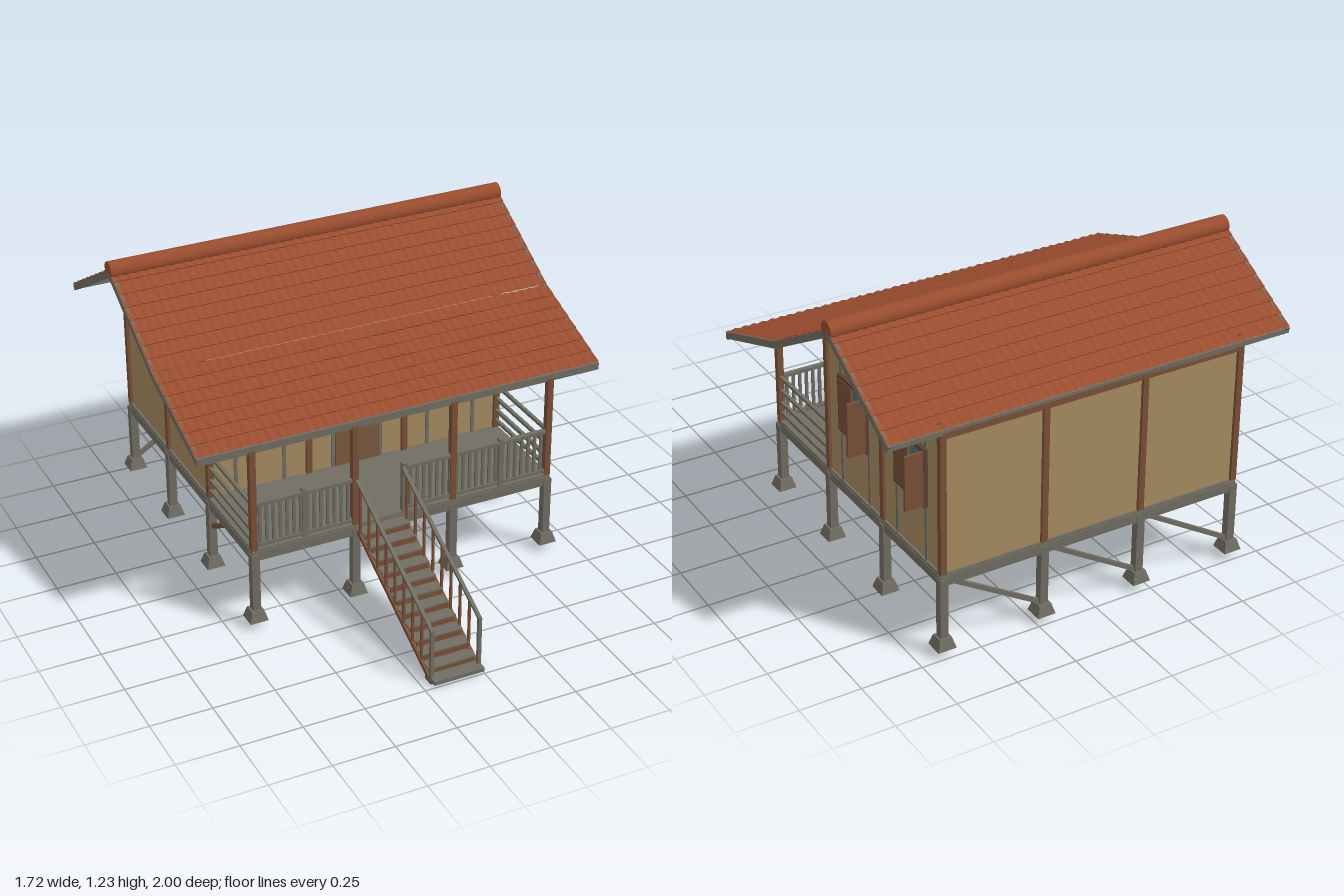
import * as THREE from 'three';
import { toCreasedNormals } from 'three/addons/utils/BufferGeometryUtils.js';

const mat = (name, color, side = THREE.FrontSide) => {
  const m = new THREE.MeshStandardMaterial({ color, side });
  m.name = name;
  return m;
};

export function createModel() {
  const tan = mat('wall tan', 0xa78b5f);
  const grey = mat('weathered grey', 0x716e62);
  const wood = mat('brown timber', 0x7a5037);
  const doorWood = mat('door brown', 0x7b5a40);
  const darkWood = mat('dark trim', 0x5a4030);
  const glass = mat('window blue', 0x4a7080);
  const tile = mat('roof terracotta', 0x9a4d2f, THREE.DoubleSide);

  const root = new THREE.Group();
  root.name = 'stiltHouse';
  const group = (name, parent = root) => {
    const g = new THREE.Group();
    g.name = name;
    parent.add(g);
    return g;
  };
  const mesh = (parent, name, geo, m) => {
    const o = new THREE.Mesh(geo, m);
    o.name = name;
    parent.add(o);
    return o;
  };
  const box = (parent, name, m, w, h, d, x, y, z) => {
    const o = mesh(parent, name, new THREE.BoxGeometry(w, h, d), m);
    o.position.set(x, y, z);
    return o;
  };
  // Square-cut timber running between two points
  const bar = (parent, name, m, a, b, w, h) => {
    const p = new THREE.Vector3(...a), q = new THREE.Vector3(...b);
    const o = mesh(parent, name, new THREE.BoxGeometry(w, h, p.distanceTo(q)), m);
    o.position.copy(p).lerp(q, 0.5);
    o.lookAt(q);
    return o;
  };

  const xs = [-0.64, -0.213, 0.213, 0.64];
  const zs = [0.325, -0.102, -0.53, -0.957];

  // Stilts, footings and floor beams
  const base = group('foundation');
  const footGeo = new THREE.CylinderGeometry(0.025 * Math.SQRT2, 0.038 * Math.SQRT2, 0.045, 4).toNonIndexed();
  footGeo.rotateY(Math.PI / 4);
  footGeo.computeVertexNormals();
  for (const x of xs) for (const z of zs) {
    mesh(base, 'footing', footGeo, grey).position.set(x, 0.053, z);
    box(base, 'stilt', grey, 0.033, 0.25, 0.033, x, 0.2, z);
  }
  for (const z of zs) box(base, 'crossBeam', grey, 1.3, 0.04, 0.025, 0, 0.316, z);
  for (const x of xs) box(base, 'longBeam', grey, 0.025, 0.038, 1.3, x, 0.316, -0.316);
  box(base, 'floor', grey, 1.3, 0.014, 1.3, 0, 0.338, -0.316);
  for (let i = 0; i < 3; i++) {
    bar(base, 'backBrace', grey, [xs[i] + 0.01, 0.08, -0.957], [xs[i + 1] - 0.04, 0.305, -0.957], 0.015, 0.018);
  }
  bar(base, 'sideBrace', wood, [-0.64, 0.335, 0.115], [-0.64, 0.21, -0.1], 0.015, 0.02);

  // House body with both gables
  const house = group('house');
  const gable = new THREE.Shape([
    [0.102, 0.345], [0.957, 0.345], [0.957, 0.92], [0.53, 1.165], [0.102, 0.92],
  ].map(p => new THREE.Vector2(...p)));
  const body = mesh(house, 'walls', new THREE.ExtrudeGeometry(gable, { depth: 1.28, bevelEnabled: false }), tan);
  body.rotation.y = Math.PI / 2;
  body.position.x = -0.64;

  // Wall posts and plates
  for (const x of xs) for (const z of [-0.102, -0.957]) {
    box(house, 'wallPost', wood, 0.025, 0.58, 0.025, x, 0.635, z);
  }
  for (const z of [-0.102, -0.957]) box(house, 'topPlate', wood, 1.28, 0.025, 0.02, 0, 0.918, z);
  for (const s of [-1, 1]) {
    const x = s * 0.642;
    box(house, 'kingPost', wood, 0.02, 0.82, 0.025, x, 0.755, -0.53);
    box(house, 'tieBeam', wood, 0.022, 0.03, 0.83, x, 0.947, -0.53);
    for (const t of [-1, 1]) {
      bar(house, 'strut', wood, [x, 0.962, -0.53 + t * 0.22], [x, 1.085, -0.53], 0.016, 0.018);
      bar(house, 'gableRafter', wood, [x, 0.925, -0.53 + t * 0.425], [x, 1.165, -0.53], 0.016, 0.015);
    }
  }
  // Cover strips on the windowed walls
  for (const z of [-0.212, -0.425, -0.637, -0.85]) box(house, 'sideStrip', grey, 0.008, 0.585, 0.014, 0.642, 0.638, z);
  for (const x of [-0.53, -0.32, -0.106, 0.106, 0.32, 0.53]) {
    box(house, 'frontStrip', grey, 0.014, 0.57, 0.008, x, 0.63, -0.1);
  }

  // Door
  const door = group('door');
  box(door, 'doorLeaf', doorWood, 0.19, 0.455, 0.016, 0, 0.573, -0.1);
  box(door, 'doorSeam', darkWood, 0.003, 0.45, 0.018, 0, 0.573, -0.1);
  box(door, 'doorHandle', darkWood, 0.008, 0.025, 0.01, 0.045, 0.56, -0.09);
  box(door, 'doorLintel', wood, 0.22, 0.016, 0.02, 0, 0.808, -0.1);

  // Windows: left shutter shut, right shutter swung out
  const addWindow = (x, z, turn) => {
    const w = group('window');
    w.position.set(x, 0.693, z);
    w.rotation.y = turn;
    box(w, 'pane', glass, 0.2, 0.22, 0.008, 0, 0, 0.005);
    for (const s of [-1, 1]) {
      box(w, 'frameSide', darkWood, 0.012, 0.24, 0.02, s * 0.104, 0, 0.008);
      box(w, 'frameRail', darkWood, 0.22, 0.012, 0.02, 0, s * 0.114, 0.008);
      box(w, 'hinge', darkWood, 0.006, 0.014, 0.008, -0.095, s * 0.07, 0.022);
    }
    box(w, 'closedShutter', wood, 0.098, 0.216, 0.012, -0.05, 0, 0.015);
    box(w, 'openShutter', wood, 0.012, 0.225, 0.086, 0.103, 0, 0.05);
    box(w, 'shutterHandle', grey, 0.006, 0.018, 0.006, -0.018, -0.005, 0.023);
  };
  for (const x of [-0.425, 0.425]) addWindow(x, -0.102, 0);
  for (const z of [-0.32, -0.748]) addWindow(0.64, z, Math.PI / 2);

  // Roof: rippled tile courses following the roof line
  const roof = group('roof');
  const line = [[-0.965, 0.945], [-0.53, 1.197], [-0.102, 0.952], [0.322, 0.798]];
  const tileSlope = (hi, lo, courses) => {
    const waves = 44, cols = waves * 4, pos = [], idx = [];
    const dz = lo[0] - hi[0], dy = lo[1] - hi[1], len = Math.hypot(dz, dy);
    const nz = -dy / len * Math.sign(dz), ny = Math.abs(dz) / len;
    for (let r = 0; r < courses * 2; r++) {
      const t = Math.ceil(r / 2) / courses;
      for (let c = 0; c <= cols; c++) {
        const off = (r % 2 ? 0.004 : 0) + 0.0025 * Math.cos(c / cols * waves * Math.PI * 2);
        pos.push(-0.86 + 1.72 * c / cols, hi[1] + dy * t + ny * off, hi[0] + dz * t + nz * off * Math.sign(dz) * Math.sign(dz));
      }
    }
    for (let r = 0; r < courses * 2 - 1; r++) for (let c = 0; c < cols; c++) {
      const a = r * (cols + 1) + c, b = a + cols + 1;
      if (dz > 0) idx.push(a, b, a + 1, a + 1, b, b + 1);
      else idx.push(a, a + 1, b, a + 1, b + 1, b);
    }
    const g = new THREE.BufferGeometry();
    g.setAttribute('position', new THREE.Float32BufferAttribute(pos, 3));
    g.setIndex(idx);
    g.computeVertexNormals();
    mesh(roof, 'tileSlope', toCreasedNormals(g, 0.8), tile);
  };
  tileSlope(line[1], line[0], 8);
  tileSlope(line[1], line[2], 8);
  tileSlope(line[2], line[3], 7);
  const ridge = mesh(roof, 'ridgeCap', new THREE.CylinderGeometry(0.037, 0.037, 1.72, 20), tile);
  ridge.rotation.z = Math.PI / 2;
  ridge.position.set(0, 1.195, -0.53);

  // Barge boards and eave boards
  for (const x of [-0.852, 0.852]) for (let i = 0; i < 3; i++) {
    const [a, b] = [line[i], line[i + 1]];
    bar(roof, 'bargeBoard', grey, [x, a[1] - 0.014, a[0]], [x, b[1] - 0.014, b[0]], 0.016, 0.028);
  }
  box(roof, 'frontFascia', grey, 1.72, 0.03, 0.014, 0, 0.782, 0.32);
  box(roof, 'backFascia', grey, 1.72, 0.02, 0.01, 0, 0.932, -0.962);

  // Verandah posts and railings
  const porch = group('verandah');
  for (const x of xs) box(porch, 'porchPost', wood, 0.025, 0.44, 0.025, x, 0.56, 0.322);
  const frontRail = (x0, x1) => {
    const w = x1 - x0, mid = (x0 + x1) / 2, n = Math.round(w / 0.029);
    box(porch, 'handRail', grey, w, 0.014, 0.02, mid, 0.54, 0.322);
    box(porch, 'bottomRail', grey, w, 0.014, 0.016, mid, 0.36, 0.322);
    for (let i = 1; i < n; i++) box(porch, 'baluster', grey, 0.012, 0.175, 0.008, x0 + w * i / n, 0.45, 0.322);
  };
  frontRail(-0.64, -0.213);
  frontRail(0, 0.64);
  for (const x of [-0.427, 0, 0.427]) box(porch, 'railPost', grey, 0.02, 0.215, 0.02, x, 0.452, 0.322);
  for (const x of [-0.64, 0.64]) for (const y of [0.541, 0.48, 0.425, 0.378]) {
    box(porch, 'sideRail', grey, 0.014, 0.013, 0.42, x, y, 0.11);
  }

  // Stairs
  const stairs = group('stairs');
  const cx = -0.106, steps = 11, run = 0.055, rise = 0.028;
  for (let i = 0; i < steps; i++) {
    const z = 0.335 + run * i, y = 0.325 - rise * i;
    box(stairs, 'tread', grey, 0.2, 0.007, run + 0.006, cx, y, z + run / 2);
    box(stairs, 'riser', wood, 0.19, rise, 0.006, cx, y - rise / 2, z + run);
  }
  box(stairs, 'bottomStep', grey, 0.212, 0.016, 0.07, cx, 0.018, 0.965);
  for (const x of [-0.206, -0.006]) {
    bar(stairs, 'stringer', wood, [x, 0.322, 0.33], [x, 0.018, 0.94], 0.014, 0.018);
    box(stairs, 'stairFoot', wood, 0.016, 0.012, 0.05, x, 0.006, 0.95);
    bar(stairs, 'stairRail', grey, [x, 0.542, 0.325], [x, 0.228, 0.965], 0.014, 0.012);
    box(stairs, 'newel', grey, 0.014, 0.21, 0.014, x, 0.125, 0.962);
    for (let i = 0; i < 8; i++) {
      const z = 0.36 + 0.0745 * i, top = 0.542 - (z - 0.325) * 0.49;
      box(stairs, 'stairBaluster', wood, 0.009, 0.215, 0.009, x, top - 0.1075, z);
    }
  }
  return root;
}
